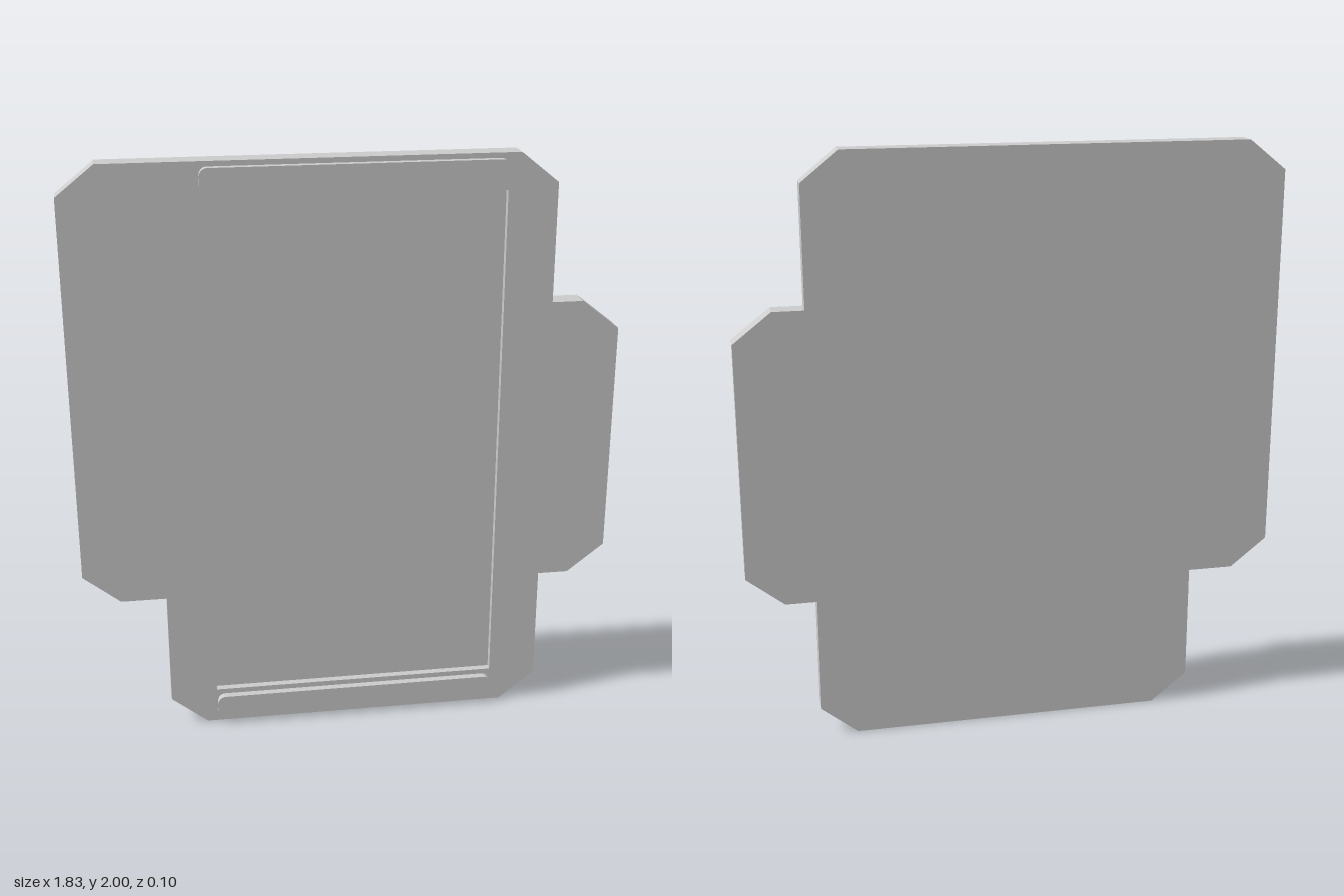
import * as THREE from 'three';

const material = new THREE.MeshStandardMaterial({ color: 0xcccccc, flatShading: true });

// Plate silhouette, clockwise from the top left corner
const outline = [
  [-0.79, 2], [0.555, 2], [0.68, 1.9], [0.68, 1.5], [0.785, 1.5], [0.912, 1.4],
  [0.912, 0.6], [0.785, 0.5], [0.68, 0.5], [0.68, 0.1], [0.555, 0], [-0.51, 0],
  [-0.635, 0.1], [-0.635, 0.5], [-0.79, 0.5], [-0.915, 0.6], [-0.915, 1.9],
];

const toPoints = (list) => list.map(([x, y]) => new THREE.Vector2(x, y));

// Extrudes a shape between two depths
function slab(name, shape, zBack, zFront) {
  const geometry = new THREE.ExtrudeGeometry(shape, {
    depth: zFront - zBack, bevelEnabled: false, curveSegments: 3,
  });
  geometry.translate(0, 0, zBack);
  const mesh = new THREE.Mesh(geometry, material);
  mesh.name = name;
  return mesh;
}

function roundedRect(x0, y0, x1, y1, r) {
  const s = new THREE.Shape();
  s.moveTo(x0 + r, y0);
  s.lineTo(x1 - r, y0);
  s.absarc(x1 - r, y0 + r, r, -Math.PI / 2, 0);
  s.absarc(x1 - r, y1 - r, r, 0, Math.PI / 2);
  s.absarc(x0 + r, y1 - r, r, Math.PI / 2, Math.PI);
  s.absarc(x0 + r, y0 + r, r, Math.PI, Math.PI * 1.5);
  return s;
}

export function createModel() {
  const model = new THREE.Group();
  model.name = 'panel';

  // Solid back layer, its front face forming the floor of the recess
  model.add(slab('backPlate', new THREE.Shape(toPoints(outline)), -0.05, 0));

  // Front layer with the rectangular recess cut out
  const front = new THREE.Shape(toPoints(outline));
  front.holes.push(new THREE.Path(toPoints([
    [-0.475, 0.125], [0.515, 0.125], [0.515, 1.88], [-0.475, 1.88],
  ])));
  model.add(slab('frontFrame', front, 0, 0.025));

  // Raised bars above and below the recess
  for (const [name, y0] of [['upperBar', 1.9], ['lowerBar', 0.024]]) {
    model.add(slab(name, roundedRect(-0.472, y0, 0.514, y0 + 0.083, 0.026), 0.025, 0.05));
  }
  return model;
}
